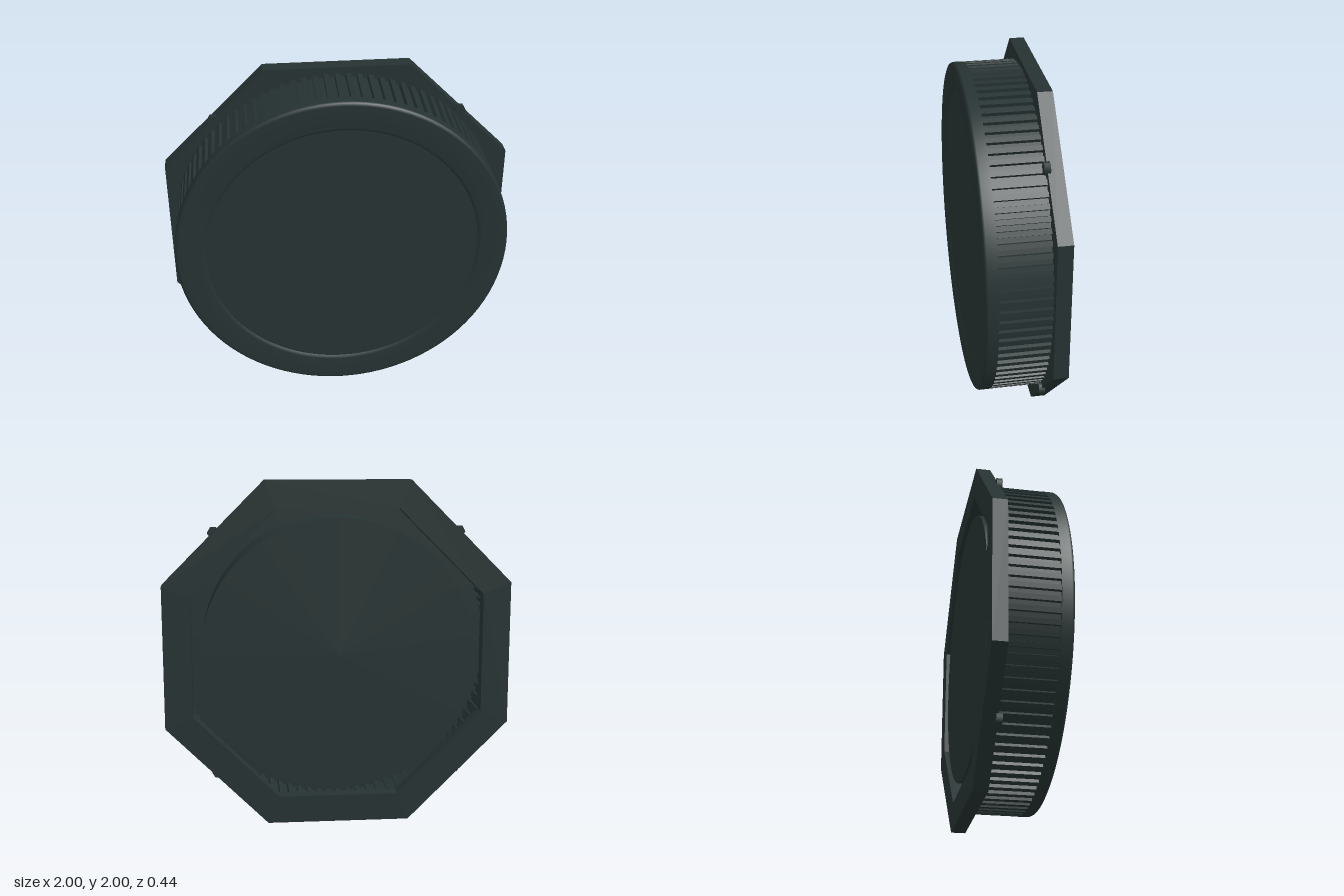
import * as THREE from 'three';

const darkTeal = new THREE.MeshStandardMaterial({ color: 0x263232 });
darkTeal.name = 'dark teal';

// Closed outline around the z axis: radiusAt(i) gives each point's radius
function outline(count, radiusAt, angleAt) {
  const points = [];
  for (let i = 0; i < count; i++) {
    const a = angleAt(i), r = radiusAt(i);
    points.push(new THREE.Vector2(r * Math.cos(a), r * Math.sin(a)));
  }
  return points;
}

// Ring between two outlines, extruded from z0 to z1
function ring(outer, inner, z0, z1) {
  const shape = new THREE.Shape(outer);
  shape.holes.push(new THREE.Path(inner));
  const geometry = new THREE.ExtrudeGeometry(shape, { depth: z1 - z0, bevelEnabled: false });
  return geometry.translate(0, 0, z0);
}

// Profile of [radius, z] pairs spun around the z axis
function spin(profile) {
  const points = profile.map(([r, z]) => new THREE.Vector2(r, z));
  return new THREE.LatheGeometry(points, 96).rotateX(Math.PI / 2);
}

export function createModel() {
  const model = new THREE.Group();
  model.name = 'ribbedCap';

  function add(name, geometry, x = 0, y = 1, z = 0) {
    const mesh = new THREE.Mesh(geometry, darkTeal);
    mesh.name = name;
    mesh.position.set(x, y, z);
    model.add(mesh);
  }

  // Octagonal back flange
  const octagon = (apothem) => outline(8,
    () => apothem / Math.cos(Math.PI / 8),
    (i) => (i + 0.5) * Math.PI / 4);
  add('octagonFlange', ring(octagon(1), octagon(0.84), -0.222, -0.138));

  // Thin grip wall, with ribs on the outside and inside
  const ribs = 96;
  const toothed = (high, low) => outline(ribs * 4,
    (i) => (i % 4 < 2 ? high : low),
    (i) => (Math.floor(i / 2) + (i % 2 ? 0.46 : -0.46)) * Math.PI / ribs);
  add('ribbedGrip', ring(toothed(0.964, 0.944), toothed(0.94, 0.925), -0.14, 0.152));

  // Rounded front rim and the flat annulus behind it
  add('frontRim', spin([
    [0.965, 0.15], [0.965, 0.205], [0.96, 0.216], [0.945, 0.222], [0.81, 0.22], [0.79, 0.205],
  ]));
  add('rimBack', spin([[0.78, 0.15], [0.965, 0.15]]));

  // Central drum, open to view from the back
  add('centreDrum', new THREE.CylinderGeometry(0.79, 0.79, 0.42, 96).rotateX(Math.PI / 2), 0, 1, 0);

  // Small hexagonal studs on the diagonal edges of the flange
  const stud = new THREE.CylinderGeometry(0.035, 0.035, 0.034, 6)
    .rotateY(Math.PI / 6).rotateX(Math.PI / 2);
  for (const sx of [-1, 1]) {
    for (const sy of [-1, 1]) add('stud', stud, sx * 0.704, 1 + sy * 0.704, -0.136);
  }

  return model;
}
